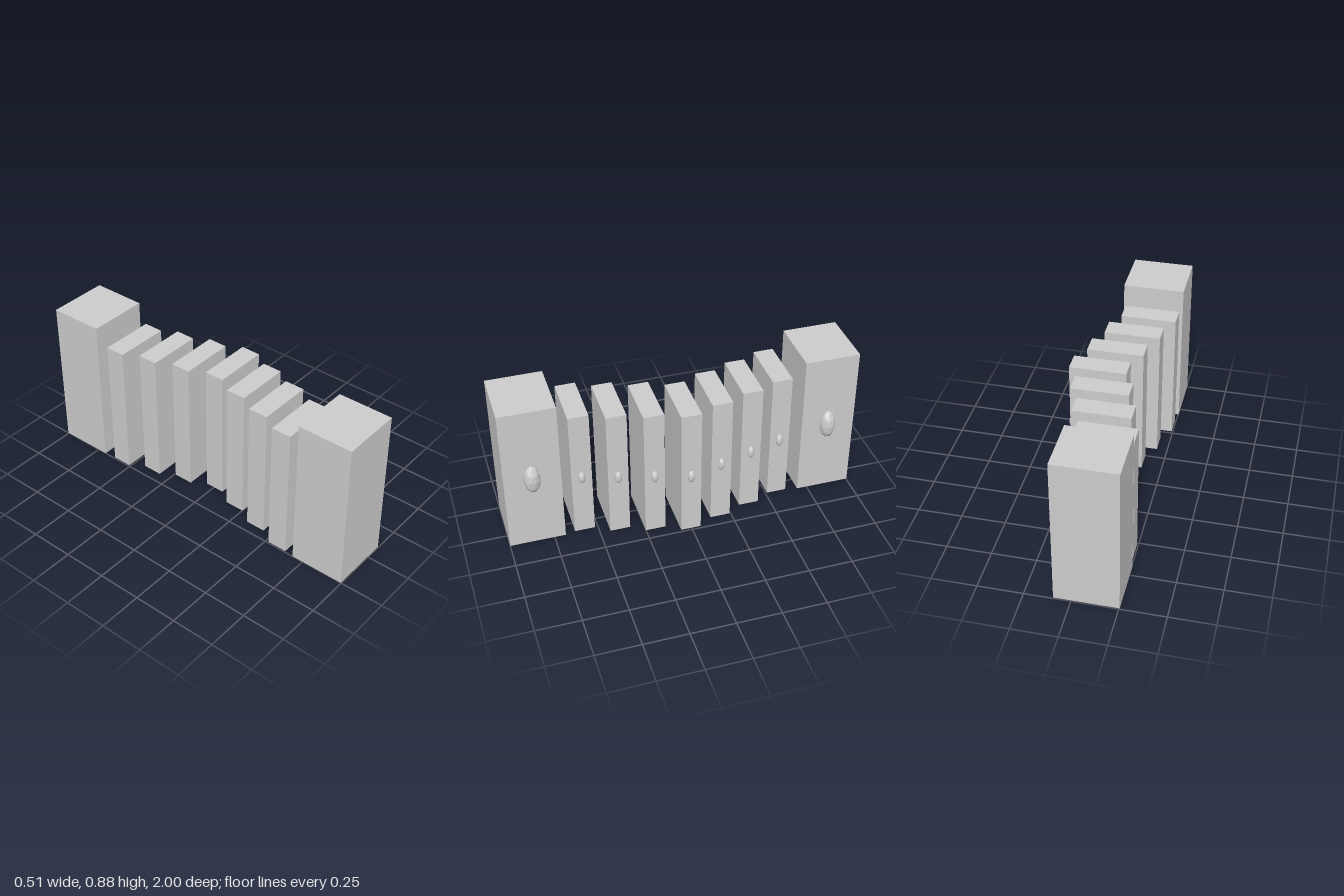
import * as THREE from 'three';

const grey = new THREE.MeshStandardMaterial({ color: 0xcccccc, flatShading: true });

// Faceted ball with a vertex at its top, stretched into an oval knob
function makeKnob(name, x, y, z, radius, halfHeight) {
  const geometry = new THREE.IcosahedronGeometry(1, 1);
  geometry.rotateZ(-Math.atan(2 / (1 + Math.sqrt(5))));
  geometry.scale(radius, halfHeight, radius);
  const knob = new THREE.Mesh(geometry, grey);
  knob.name = name;
  knob.position.set(x, y, z);
  return knob;
}

// Upright block whose +x face sits at faceX
function makeBlock(name, faceX, baseY, z, depth, height, width) {
  const block = new THREE.Mesh(new THREE.BoxGeometry(depth, height, width), grey);
  block.name = name;
  block.position.set(faceX - depth / 2, baseY + height / 2, z);
  return block;
}

export function createModel() {
  const model = new THREE.Group();
  model.name = 'curvedRowOfBlocks';

  // Large end towers
  for (const side of [-1, 1]) {
    const tower = new THREE.Group();
    tower.name = side > 0 ? 'frontTower' : 'backTower';
    tower.add(makeBlock('towerBlock', 0.093, 0.006, side * 0.844, 0.348, 0.872, 0.312));
    tower.add(makeKnob('towerKnob', 0.093, 0.444, side * 0.844 + 0.002, 0.047, 0.088));
    model.add(tower);
  }

  // Seven slim panels, stepping forward towards the middle
  for (let i = -3; i <= 3; i++) {
    const panel = new THREE.Group();
    panel.name = 'panel' + (i + 4);
    const faceX = 0.235 - 0.0543 * Math.abs(i);
    const z = 0.19 * i + 0.004;
    panel.add(makeBlock('panelBlock', faceX, 0, z, 0.315, 0.777, 0.114));
    panel.add(makeKnob('panelKnob', faceX, 0.373, z, 0.021, 0.039));
    model.add(panel);
  }
  return model;
}
